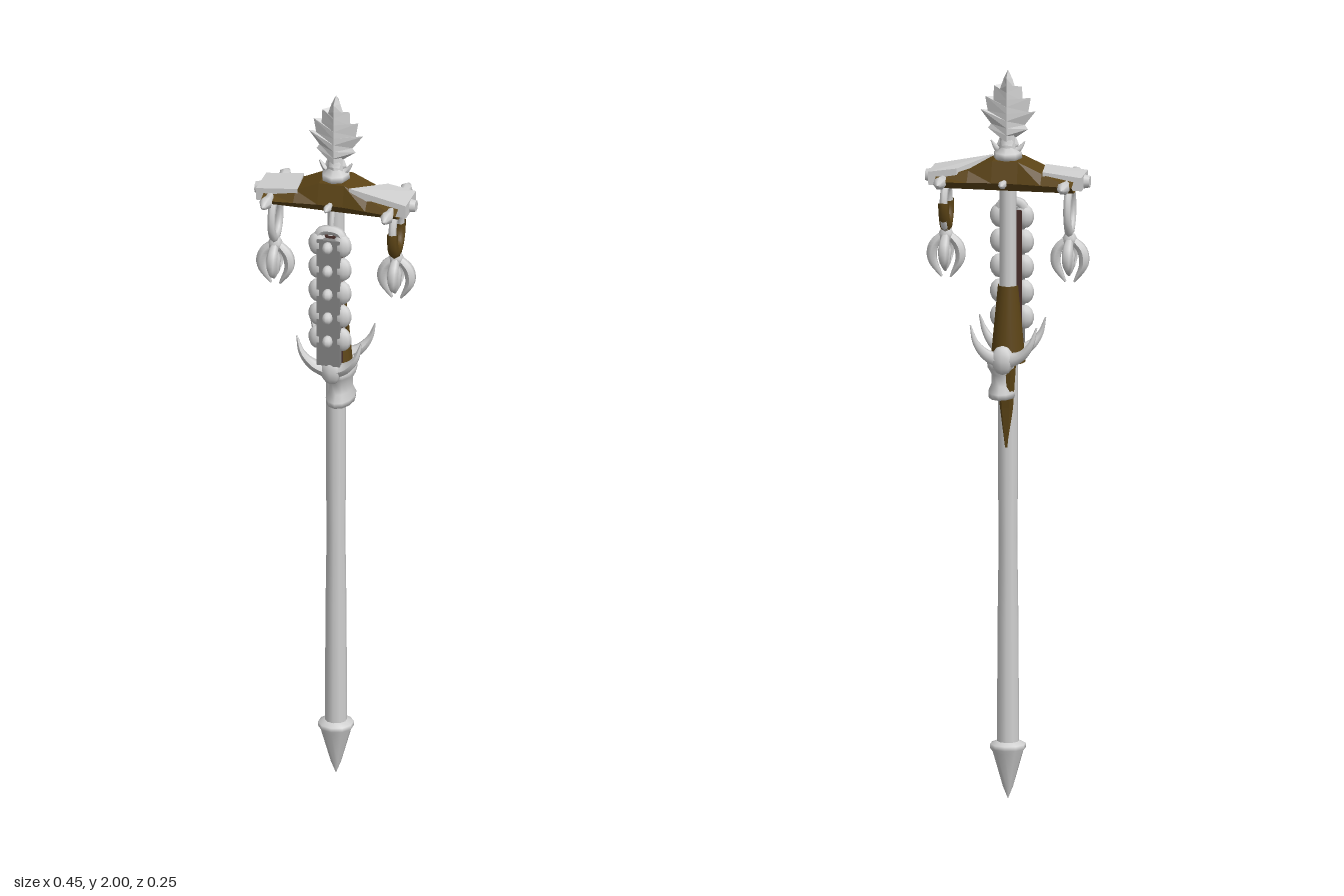
import * as THREE from 'three';

const mat = (name, color) => {
  const m = new THREE.MeshStandardMaterial({ color });
  m.name = name;
  return m;
};

export function createModel() {
  const root = new THREE.Group();
  root.name = 'ceremonialStaff';
  const bone = mat('bone', 0xd0d0d0);
  const leather = mat('leather', 0x5c4416);
  leather.side = THREE.DoubleSide;
  const slate = mat('slate', 0x858585);
  const maroon = mat('darkMaroon', 0x4a302c);

  const add = (name, geo, material, x = 0, y = 0, z = 0, parent = root) => {
    const mesh = new THREE.Mesh(geo, material);
    mesh.name = name;
    mesh.position.set(x, y, z);
    parent.add(mesh);
    return mesh;
  };
  const lathe = (pts, sides) =>
    new THREE.LatheGeometry(pts.map(([r, y]) => new THREE.Vector2(r, y)), sides);

  // Tube whose radius follows radiusAt(t) along a curve
  const taperTube = (points, radiusAt, sides = 6, steps = 14) => {
    const curve = new THREE.CatmullRomCurve3(points.map(p => new THREE.Vector3(...p)));
    const geo = new THREE.TubeGeometry(curve, steps, 1, sides);
    const pos = geo.attributes.position, v = new THREE.Vector3();
    for (let i = 0; i < pos.count; i++) {
      const t = Math.floor(i / (sides + 1)) / steps;
      const c = curve.getPointAt(t);
      v.fromBufferAttribute(pos, i).sub(c).multiplyScalar(radiusAt(t)).add(c);
      pos.setXYZ(i, v.x, v.y, v.z);
    }
    geo.computeVertexNormals();
    return geo;
  };

  // Skin over equal cross-section loops
  const loft = (loops) => {
    const n = loops[0].length, idx = [];
    for (let i = 0; i < loops.length - 1; i++)
      for (let j = 0; j < n; j++) {
        const a = i * n + j, b = i * n + (j + 1) % n;
        idx.push(a, b, a + n, b, b + n, a + n);
      }
    const geo = new THREE.BufferGeometry();
    geo.setAttribute('position', new THREE.Float32BufferAttribute(loops.flat(2), 3));
    geo.setIndex(idx);
    const flat = geo.toNonIndexed();
    flat.computeVertexNormals();
    return flat;
  };

  // Pole and pointed foot
  add('pole', lathe([[0.03, 0.14], [0.028, 0.5], [0.025, 0.72], [0.027, 0.88], [0.027, 1.2], [0.023, 1.4], [0.022, 1.77]], 10), bone);
  add('footSpike', lathe([[0, 0], [0.014, 0.035], [0.041, 0.13], [0.048, 0.14], [0.048, 0.152], [0.028, 0.16]], 10), bone);

  // Flared collar, narrow from the front
  const collar = add('collar', lathe([[0.03, 1.1], [0.064, 1.105], [0.066, 1.12], [0.052, 1.14], [0.052, 1.17], [0.07, 1.19], [0.072, 1.205], [0.055, 1.225], [0.02, 1.23]], 12), bone, 0.014);
  collar.scale.x = 0.58;

  // Horns with a small skull, front and back
  for (const s of [1, -1]) {
    const skull = add('skull', new THREE.SphereGeometry(1, 8, 6), bone, 0.004, 1.215, 0.058 * s);
    skull.scale.set(0.032, 0.04, 0.024);
    for (const side of [1, -1])
      add('horn', taperTube([[0, 1.21, 0.052 * s], [0.045 * side, 1.228, 0.062 * s], [0.074 * side, 1.262, 0.07 * s], [0.09 * side, 1.31, 0.066 * s]],
        t => 0.021 * (1 - t) + 0.002), bone);
  }

  // Leather wrapped round the back of the pole, with a hanging tail
  const wrap = new THREE.CylinderGeometry(0.027, 0.047, 0.21, 10, 1, true, Math.PI * 0.4, Math.PI * 1.2);
  add('poleWrap', wrap, leather, 0, 1.305, 0);
  add('frontWrap', new THREE.CylinderGeometry(0.03, 0.045, 0.09, 10, 1, true), leather, 0, 1.26, 0);
  add('wrapTail', loft([[0.97, 0.004, 0.03], [1.08, 0.018, 0.036], [1.2, 0.026, 0.046]].map(([y, w, d]) =>
    [[-w, y, -0.022], [w, y, -0.022], [w * 0.6, y, -d], [-w * 0.6, y, -d]])), leather);

  // Spine panel with vertebra lobes and studs
  const spine = new THREE.Group();
  spine.name = 'spine';
  root.add(spine);
  add('spinePlate', new THREE.BoxGeometry(0.064, 0.37, 0.016), slate, 0, 1.42, 0.068, spine);
  add('spineBacking', new THREE.BoxGeometry(0.06, 0.37, 0.008), maroon, 0, 1.42, 0.042, spine);
  for (let i = 0; i < 5; i++) {
    const y = 1.31 + i * 0.069;
    for (const side of [1, -1]) {
      const lobe = add('vertebraLobe', new THREE.SphereGeometry(1, 10, 7), bone, 0.034 * side, y, 0.058, spine);
      lobe.scale.set(0.026, 0.033, 0.02);
    }
    const stud = add('stud', new THREE.SphereGeometry(0.017, 8, 6), bone, 0, y, 0.084, spine);
    stud.scale.set(0.85, 1, 1.1);
  }
  add('spineTop', taperTube([[-0.04, 1.59, 0.058], [-0.025, 1.622, 0.055], [0.025, 1.622, 0.055], [0.04, 1.59, 0.058]], () => 0.013), bone, 0, 0, 0, spine);
  add('spineFoot', taperTube([[0, 1.22, 0.05], [0, 1.245, 0.06], [0, 1.28, 0.06]], () => 0.014), bone, 0, 0, 0, spine);
  add('spineHanger', taperTube([[0, 1.61, 0.052], [0, 1.65, 0.045], [0, 1.69, 0.03]], () => 0.007), bone, 0, 0, 0, spine);

  // Crossbar, leather saddle and end plates
  add('crossbar', new THREE.BoxGeometry(0.416, 0.034, 0.09), bone, 0, 1.702, 0);
  const saddle = [[-0.187, 1.712, 0.078], [-0.1, 1.728, 0.068], [-0.035, 1.757, 0.06], [0.035, 1.757, 0.06], [0.1, 1.728, 0.068], [0.187, 1.712, 0.078]];
  add('leatherSaddle', loft(saddle.map(([x, top, w]) =>
    [[x, top, -0.045], [x, 1.7, -w], [x, 1.678, -0.045], [x, 1.678, 0.045], [x, 1.7, w], [x, top, 0.045]])), leather);
  for (const side of [1, -1]) {
    const plate = new THREE.BoxGeometry(2, 2, 0.1);
    const p = plate.attributes.position;
    for (let i = 0; i < p.count; i++) {
      const inner = p.getX(i) * side < 0, z = p.getZ(i);
      const x = !inner ? 0.208 : side < 0 ? 0.098 - z * 0.1 : 0.09 - z * 0.8;
      const top = !inner ? 1.722 : x < 0.09 ? 1.754 : 1.734;
      p.setXYZ(i, x * side, p.getY(i) > 0 ? top : 1.69, z);
    }
    const flat = plate.toNonIndexed();
    flat.computeVertexNormals();
    add('endPlate', flat, bone);
    const knob = add('endKnob', new THREE.CylinderGeometry(0.016, 0.022, 0.03, 8), bone, 0.208 * side, 1.702, 0);
    knob.rotation.z = -side * Math.PI / 2;
  }

  // Spikes along both long sides of the crossbar
  for (const s of [1, -1])
    for (const x of [-0.168, 0, 0.168]) {
      const k = x ? 1 : 0.65;
      const spike = add('sideSpike', lathe([[0.012, -0.015], [0.012, 0.01], [0.018, 0.036], [0.007, 0.062], [0, 0.067]], 7), bone, x, 1.702, 0.06 * s);
      spike.rotation.x = s * Math.PI / 2;
      spike.scale.set(k, k, k);
    }

  // Hanging rings and claw pendants
  for (const side of [1, -1]) {
    const pendant = new THREE.Group();
    pendant.name = 'pendant';
    pendant.position.x = 0.168 * side;
    root.add(pendant);
    const ring = add('ring', new THREE.TorusGeometry(0.042, 0.011, 7, 20), bone, 0, 1.622, 0, pendant);
    ring.rotation.y = Math.PI / 2;
    ring.scale.y = 1.4;
    if (side > 0) {
      const band = add('ringWrap', new THREE.TorusGeometry(0.04, 0.015, 7, 14, Math.PI * 1.1), leather, 0, 1.622, 0, pendant);
      band.rotation.set(0, Math.PI / 2, Math.PI * 0.95);
      band.scale.y = 1.4;
    }
    add('pendantCap', lathe([[0, 1.52], [0.018, 1.525], [0.02, 1.545], [0.009, 1.565], [0, 1.568]], 8), bone, 0, 0, 0, pendant);
    add('pendantCore', lathe([[0, 1.44], [0.012, 1.46], [0.016, 1.5], [0, 1.53]], 6), bone, 0, 0, 0, pendant);
    for (let i = 0; i < 4; i++) {
      const claw = add('claw', taperTube([[0.01, 1.54, 0], [0.034, 1.512, 0], [0.038, 1.475, 0], [0.012, i % 2 ? 1.445 : 1.425, 0]],
        t => 0.003 + 0.012 * Math.sin(Math.PI * (0.2 + 0.8 * t))), bone, 0, 0, 0, pendant);
      claw.rotation.y = i * Math.PI / 2;
    }
  }

  // Lobed leaf finial with a raised midrib
  const edge = [[0.012, 1.765], [0.03, 1.795], [0.022, 1.815], [0.054, 1.838], [0.046, 1.85], [0.075, 1.888], [0.055, 1.885],
    [0.062, 1.925], [0.04, 1.915], [0.038, 1.955], [0.022, 1.945], [0.012, 1.975], [0, 2]];
  const leaf = edge.map(([x, y], i) => {
    const mid = Math.min(2, 1.765 + i * 0.0196), d = i === edge.length - 1 ? 0 : 0.024;
    return [[-x, y, 0], [0, mid, -d], [x, y, 0], [0, mid, d]];
  });
  const leafGeo = loft(leaf.map(l => [...l].reverse()));
  add('leafFinial', leafGeo, bone);
  add('leafMidrib', taperTube([[0, 1.75, 0], [0, 1.86, 0], [0, 1.985, 0]], t => 0.026 * (1 - t) + 0.003), bone);
  const base = add('leafBase', lathe([[0.024, 1.745], [0.046, 1.76], [0.044, 1.775], [0.022, 1.79], [0.026, 1.805], [0.012, 1.82]], 8), bone);
  base.scale.x = 0.85;
  // Small curled leaflets at the foot of the leaf
  for (const side of [1, -1])
    add('leaflet', taperTube([[0, 1.775, 0], [0.028 * side, 1.782, 0], [0.046 * side, 1.805, 0]], t => 0.014 * (1 - t) + 0.002), bone);

  return root;
}
